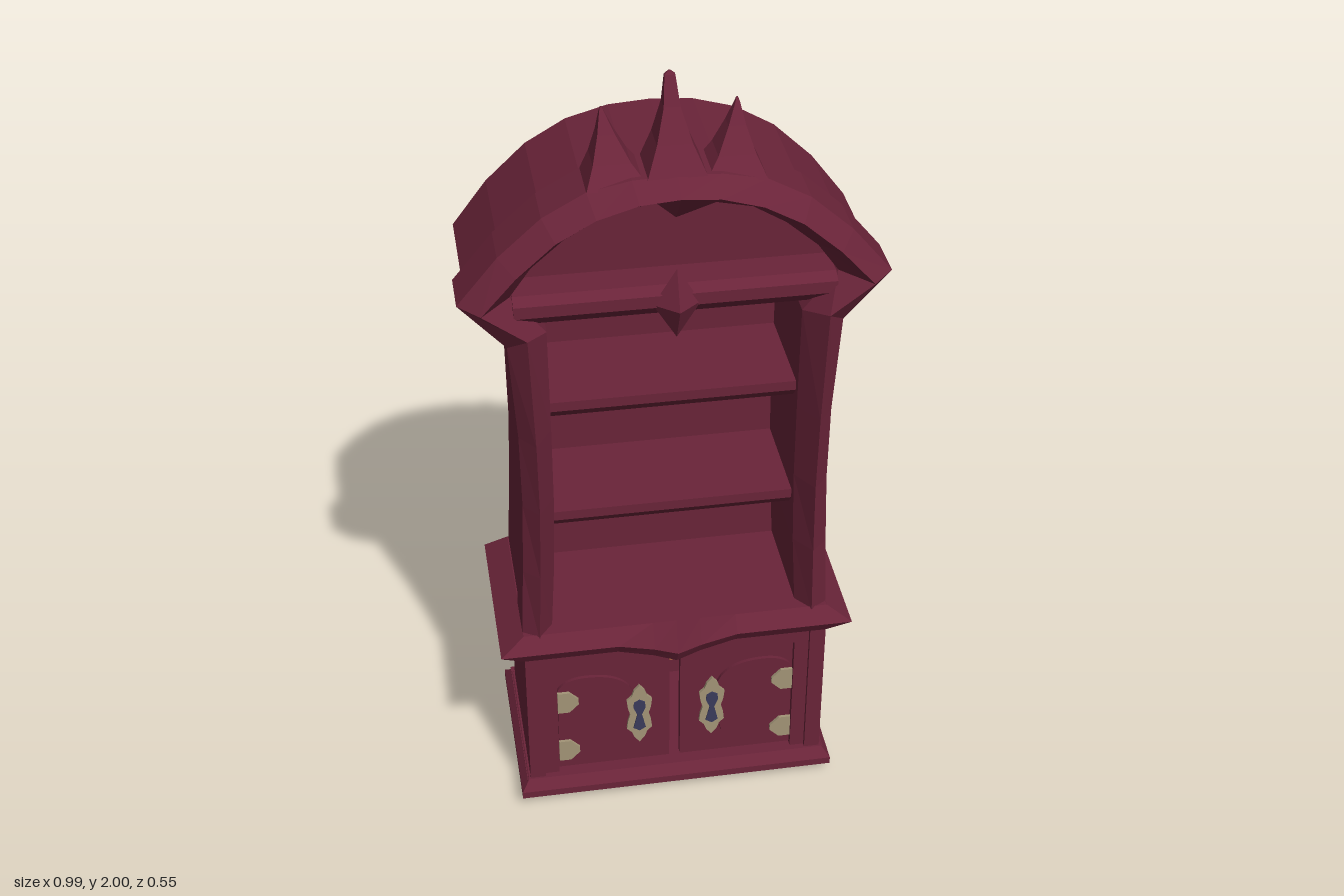
import * as THREE from 'three';

const mat = (name, color, side = THREE.FrontSide) => {
  const m = new THREE.MeshStandardMaterial({ color, side });
  m.name = name;
  return m;
};

// Flat-faced skin over a list of rings with equal point counts
function loft(rings, closed) {
  const pos = [];
  const n = rings[0].length;
  for (let r = 0; r < rings.length - 1; r++) {
    for (let i = 0; i < (closed ? n : n - 1); i++) {
      const j = (i + 1) % n;
      const a = rings[r][i], b = rings[r][j], c = rings[r + 1][j], d = rings[r + 1][i];
      pos.push(...a, ...b, ...c, ...a, ...c, ...d);
    }
  }
  const g = new THREE.BufferGeometry();
  g.setAttribute('position', new THREE.Float32BufferAttribute(pos, 3));
  g.computeVertexNormals();
  return g;
}

const mirrored = half => [...half, ...half.slice(0, -1).reverse().map(([x, y]) => [-x, y])];
const atZ = (pts, z) => pts.map(([x, y]) => [x, y, z]);
const shapeOf = pts => new THREE.Shape(pts.map(p => new THREE.Vector2(...p)));
const plate = (shape, depth, curveSegments = 14) =>
  new THREE.ExtrudeGeometry(shape, { depth, bevelEnabled: false, curveSegments });

// (z, y) profile run along x
const bar = (pts, w) => plate(shapeOf(pts), w).rotateY(-Math.PI / 2).translate(w / 2, 0, 0);

// Horizontal moulding ring, whose front edge can dip in the middle
function mouldRing(hw, z0, z1, y, dip = 0) {
  const front = [[-hw, 0], [-0.15, 0], [-0.06, 0.5], [0, 1], [0.06, 0.5], [0.15, 0], [hw, 0]];
  return [...front.map(([x, d]) => [x, y - dip * d, z1]), [hw, y, z0], [-hw, y, z0]];
}

// Arch with straight legs, open at the bottom
function hoop(ro, ri, cy, bottom) {
  const s = new THREE.Shape();
  s.moveTo(ro, bottom);
  s.lineTo(ro, cy);
  s.absarc(0, cy, ro, 0, Math.PI, false);
  s.lineTo(-ro, bottom);
  s.lineTo(-ri, bottom);
  s.lineTo(-ri, cy);
  s.absarc(0, cy, ri, Math.PI, 0, true);
  s.lineTo(ri, bottom);
  return s;
}

export function createModel() {
  const wood = mat('darkRedWood', 0x6a2439, THREE.DoubleSide);
  const brass = mat('agedBrass', 0xa39577);
  const navy = mat('keyholeNavy', 0x3a3b5c);
  const orange = mat('cushionOrange', 0xd08a45);
  const model = new THREE.Group();
  const add = (name, geo, material = wood, parent = model) => {
    const m = new THREE.Mesh(geo, material);
    m.name = name;
    parent.add(m);
    return m;
  };
  const box = (name, x0, x1, y0, y1, z0, z1, material = wood, parent = model) =>
    add(name, new THREE.BoxGeometry(x1 - x0, y1 - y0, z1 - z0)
      .translate((x0 + x1) / 2, (y0 + y1) / 2, (z0 + z1) / 2), material, parent);

  // Upper case: waisted sides and arched top, bevelled round the opening
  const back = mirrored([[0.383, 0.54], [0.372, 0.75], [0.365, 0.95], [0.367, 1.15], [0.383, 1.43],
    [0.473, 1.51], [0.39, 1.62], [0.295, 1.71], [0.2, 1.765], [0.1, 1.793], [0, 1.8]]);
  const outer = mirrored([[0.387, 0.54], [0.377, 0.75], [0.37, 0.95], [0.372, 1.15], [0.388, 1.4],
    [0.495, 1.52], [0.4, 1.635], [0.3, 1.725], [0.2, 1.78], [0.1, 1.8], [0, 1.805]]);
  const ridge = mirrored([[0.345, 0.54], [0.338, 0.75], [0.333, 0.95], [0.335, 1.15], [0.345, 1.44],
    [0.445, 1.515], [0.365, 1.605], [0.275, 1.685], [0.185, 1.735], [0.09, 1.763], [0, 1.77]]);
  const opening = mirrored([[0.31, 0.54], [0.298, 0.75], [0.293, 0.95], [0.293, 1.15], [0.295, 1.42],
    [0.375, 1.52], [0.325, 1.59], [0.25, 1.655], [0.16, 1.71], [0.045, 1.73], [0, 1.69]]);
  const ridgeRing = ridge.map(([x, y]) => [x, y, 0.245 + 0.023 * Math.min(1, (y - 0.54) / 0.5)]);
  add('upperCase', loft([atZ(back, -0.165), atZ(back, 0.105), atZ(outer, 0.105), atZ(outer, 0.22),
    ridgeRing, atZ(opening, 0.2), atZ(opening, -0.08)], false));
  add('backPanel', new THREE.ShapeGeometry(shapeOf(back)).translate(0, 0, -0.165));
  add('innerBack', new THREE.ShapeGeometry(shapeOf(opening)).translate(0, 0, -0.08));
  add('archPanel', new THREE.ShapeGeometry(shapeOf(opening.filter(p => p[1] > 1.45))).translate(0, 0, 0.12));

  // Cross rail with a pointed boss
  add('archRail', bar([[0.1, 1.44], [0.19, 1.44], [0.225, 1.475], [0.225, 1.505], [0.2, 1.52], [0.1, 1.52]], 0.74));
  const boss = add('railBoss', new THREE.OctahedronGeometry(1));
  boss.scale.set(0.055, 0.09, 0.045);
  boss.position.set(0, 1.48, 0.22);

  // Shelves
  for (const y of [0.865, 1.185]) {
    add('shelf', bar([[-0.08, y - 0.025], [0.16, y - 0.025], [0.18, y], [0.18, y + 0.025], [-0.08, y + 0.025]], 0.588));
  }

  // Crown spikes, leaning back to their tips
  const spike = (x0, x1, yb, xt, yt, tip) => {
    const ring = (hw0, hw1, z1, y) => [[xt - hw0, y, 0.105], [xt - hw0, y, z1], [xt + hw1, y, z1], [xt + hw1, y, 0.105]];
    const a = xt - x0, b = x1 - xt, h = yt - yb;
    add('crownSpike', loft([ring(a, b, 0.225, yb), ring(a * 0.6, b * 0.6, 0.185, yb + h * 0.3),
      ring(a * 0.28, b * 0.28, 0.145, yb + h * 0.65), ring(tip, tip, 0.115, yt - 0.008), ring(0.002, 0.002, 0.108, yt)], true));
  };
  spike(-0.066, 0.066, 1.8, 0, 2, 0.012);
  spike(0.06, 0.2, 1.78, 0.15, 1.925, 0.005);
  spike(-0.2, -0.06, 1.78, -0.15, 1.925, 0.005);

  // Waist moulding and plinth
  add('waistMoulding', loft([mouldRing(0.385, -0.165, 0.245, 0.48, 0.05), mouldRing(0.445, -0.19, 0.27, 0.518, 0.045),
    mouldRing(0.385, -0.165, 0.24, 0.558)], true));
  box('displayFloor', -0.385, 0.385, 0.49, 0.556, -0.164, 0.24);
  add('plinth', loft([mouldRing(0.395, -0.195, 0.255, 0.015), mouldRing(0.41, -0.21, 0.272, 0.03),
    mouldRing(0.41, -0.21, 0.272, 0.05), mouldRing(0.39, -0.17, 0.25, 0.075)], true));
  box('plinthBoard', -0.394, 0.394, 0.015, 0.073, -0.194, 0.25);

  // Hollow lower case
  box('lowerBack', -0.384, 0.384, 0.06, 0.5, -0.165, -0.145);
  box('doorRail', -0.31, 0.31, 0.435, 0.5, 0.18, 0.232);

  // Door fittings, drawn for the left door and mirrored
  const panel = new THREE.Shape();
  panel.moveTo(0.305, 0.1);
  panel.lineTo(0.16, 0.1);
  panel.quadraticCurveTo(0.12, 0.11, 0.12, 0.17);
  panel.quadraticCurveTo(0.07, 0.25, 0.12, 0.34);
  panel.quadraticCurveTo(0.15, 0.385, 0.23, 0.385);
  panel.quadraticCurveTo(0.285, 0.385, 0.305, 0.35);
  const plateHalf = [[0, -0.098], [0.014, -0.08], [0.02, -0.062], [0.033, -0.048], [0.03, -0.022], [0.024, 0],
    [0.03, 0.022], [0.033, 0.048], [0.02, 0.062], [0.014, 0.08], [0, 0.098]];
  const lock = shapeOf([...plateHalf, ...plateHalf.slice(1, -1).reverse().map(([x, y]) => [-x, y])]);
  const keyhole = shapeOf([[-0.016, -0.045], [0, -0.056], [0.016, -0.045], [0.006, 0], [0.016, 0.025], [0.014, 0.042],
    [0, 0.05], [-0.014, 0.042], [-0.016, 0.025], [-0.006, 0]]);
  for (const s of [1, -1]) {
    const side = new THREE.Group();
    side.name = s > 0 ? 'leftDoorSide' : 'rightDoorSide';
    model.add(side);
    const span = (name, a, b, ...rest) => box(name, Math.min(s * a, s * b), Math.max(s * a, s * b), ...rest, wood, side);
    span('sideWall', 0.345, 0.385, 0.06, 0.5, -0.165, 0.243);
    span('innerPost', 0.308, 0.346, 0.06, 0.5, 0.1, 0.232);
    span('door', 0.014, 0.309, 0.075, 0.47, 0.195, 0.216);
    const centred = (name, geo, x, y, z, m) => add(name, geo, m, side).position.set(s * x, y, z);
    const mirroredPanel = s > 0 ? panel : shapeOf(panel.getPoints(10).map(p => [-p.x, p.y]));
    add('doorPanel', plate(mirroredPanel, 0.009), wood, side).position.z = 0.216;
    centred('lockPlate', plate(lock, 0.008), 0.095, 0.247, 0.2245, brass);
    centred('keyhole', plate(keyhole, 0.003), 0.095, 0.247, 0.2325, navy);
    for (const y of [0.145, 0.312]) {
      const hinge = shapeOf([[0.026, -0.033], [0.026, 0.033], [-0.004, 0.033], [-0.028, 0.008], [-0.028, -0.008], [-0.004, -0.033]]
        .map(([x, v]) => [s * x, v]));
      centred('hinge', plate(hinge, 0.008), 0.28, y, 0.2245, brass);
    }
  }

  // Small chair standing partly inside the case
  const chair = new THREE.Group();
  chair.name = 'chair';
  model.add(chair);
  box('seatFrame', -0.12, 0.12, 0.205, 0.25, -0.215, 0.04, wood, chair);
  for (const y of [0.25, 0.279]) {
    const cushion = new THREE.CylinderGeometry(0.125 * Math.SQRT2, 0.13 * Math.SQRT2, 0.026, 4)
      .rotateY(Math.PI / 4).scale(1, 1, 1.02).translate(0, y + 0.013, -0.09);
    add('cushion', cushion.toNonIndexed(), orange, chair).geometry.computeVertexNormals();
  }
  for (const x of [-0.1, 0.1]) {
    for (const z of [-0.19, 0.02]) {
      add('chairLeg', new THREE.CylinderGeometry(0.024, 0.015, 0.15, 8).translate(x, 0.145, z), wood, chair);
      add('chairFoot', new THREE.CylinderGeometry(0.014, 0.026, 0.075, 8).translate(x, 0.0375, z), wood, chair);
    }
    const arm = add('chairArm', new THREE.CylinderGeometry(0.012, 0.012, 0.2, 8).rotateX(Math.PI / 2), wood, chair);
    arm.position.set(x * 1.5, 0.345, -0.105);
  }
  const chairBack = new THREE.Group();
  chairBack.name = 'chairBack';
  chairBack.position.set(0, 0.24, -0.215);
  chairBack.rotation.x = -0.09;
  chair.add(chairBack);
  add('backHoop', plate(hoop(0.18, 0.118, 0.272, 0.235), 0.03).translate(0, 0, -0.018), wood, chairBack);
  add('innerHoop', plate(hoop(0.12, 0.065, 0.26, 0.17), 0.014).translate(0, 0, -0.01), wood, chairBack);
  for (const x of [-0.085, 0.085]) {
    box('backSlat', x - 0.024, x + 0.024, 0, 0.27, -0.011, 0.006, wood, chairBack);
  }
  return model;
}
